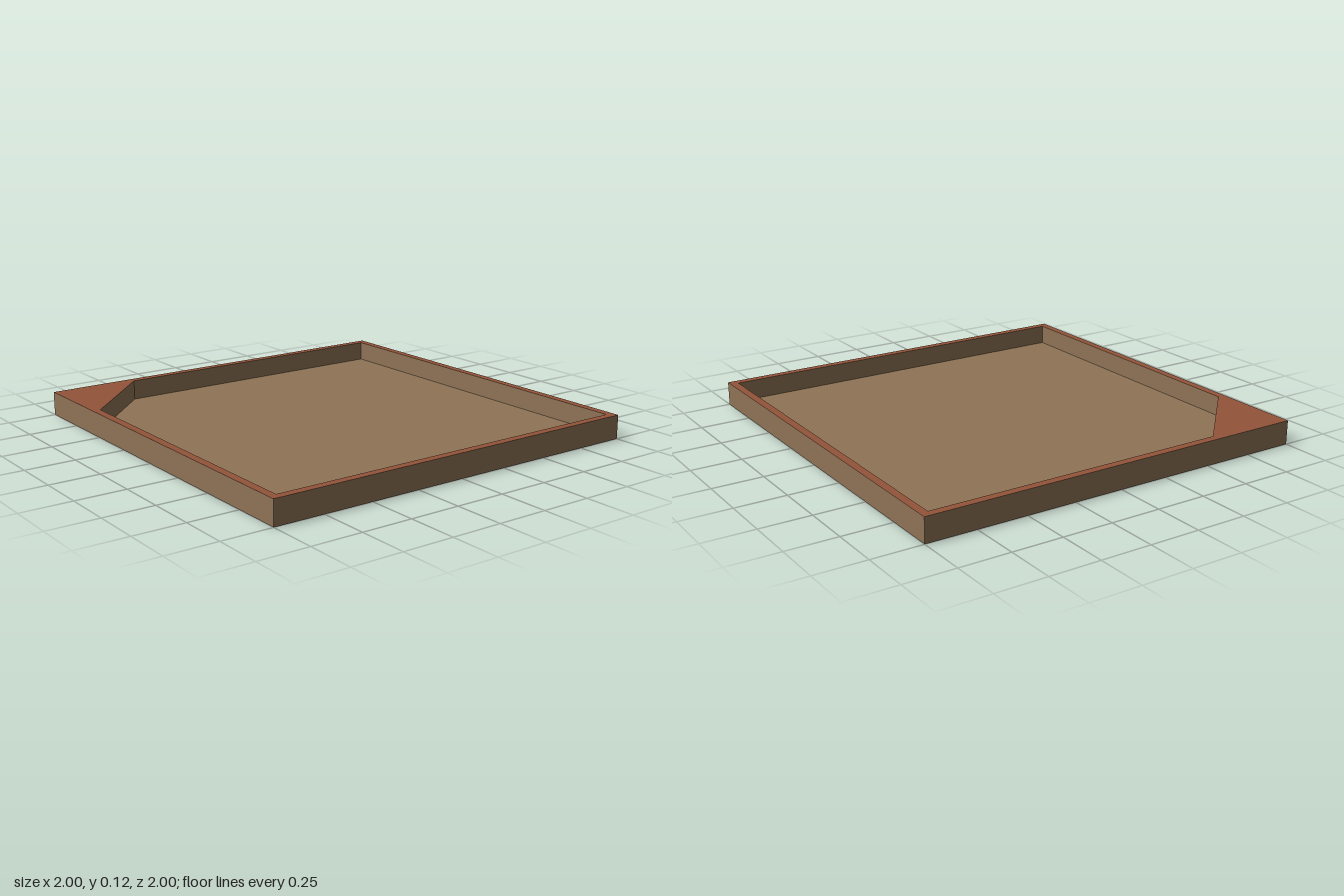
import * as THREE from 'three';

const HALF = 1, INNER = 0.96, CUT = 0.56;   // outer half size, inner half size, corner start
const HEIGHT = 0.12, FLOOR = 0.02;

export function createModel() {
  const model = new THREE.Group();
  const tan = new THREE.MeshStandardMaterial({ color: 0x8f7456 });
  tan.name = 'tan';
  const rust = new THREE.MeshStandardMaterial({ color: 0x93543a });
  rust.name = 'rust';

  // Thin base slab
  const base = new THREE.Mesh(new THREE.BoxGeometry(2 * HALF, FLOOR, 2 * HALF), tan);
  base.name = 'base';
  base.position.y = FLOOR / 2;
  model.add(base);

  // Wall ring with one filled corner at the front right; rust rim, tan sides
  const points = (list) => list.map(([x, z]) => new THREE.Vector2(x, -z));
  const ring = new THREE.Shape(points([[-HALF, HALF], [HALF, HALF], [HALF, -HALF], [-HALF, -HALF]]));
  ring.holes.push(new THREE.Path(points([
    [-INNER, -INNER], [INNER, -INNER], [INNER, INNER], [-CUT, INNER], [-INNER, CUT],
  ])));
  const geometry = new THREE.ExtrudeGeometry(ring, { depth: HEIGHT - FLOOR, bevelEnabled: false });
  geometry.rotateX(-Math.PI / 2);
  const walls = new THREE.Mesh(geometry, [rust, tan]);
  walls.name = 'walls';
  walls.position.y = FLOOR;
  model.add(walls);

  return model;
}
